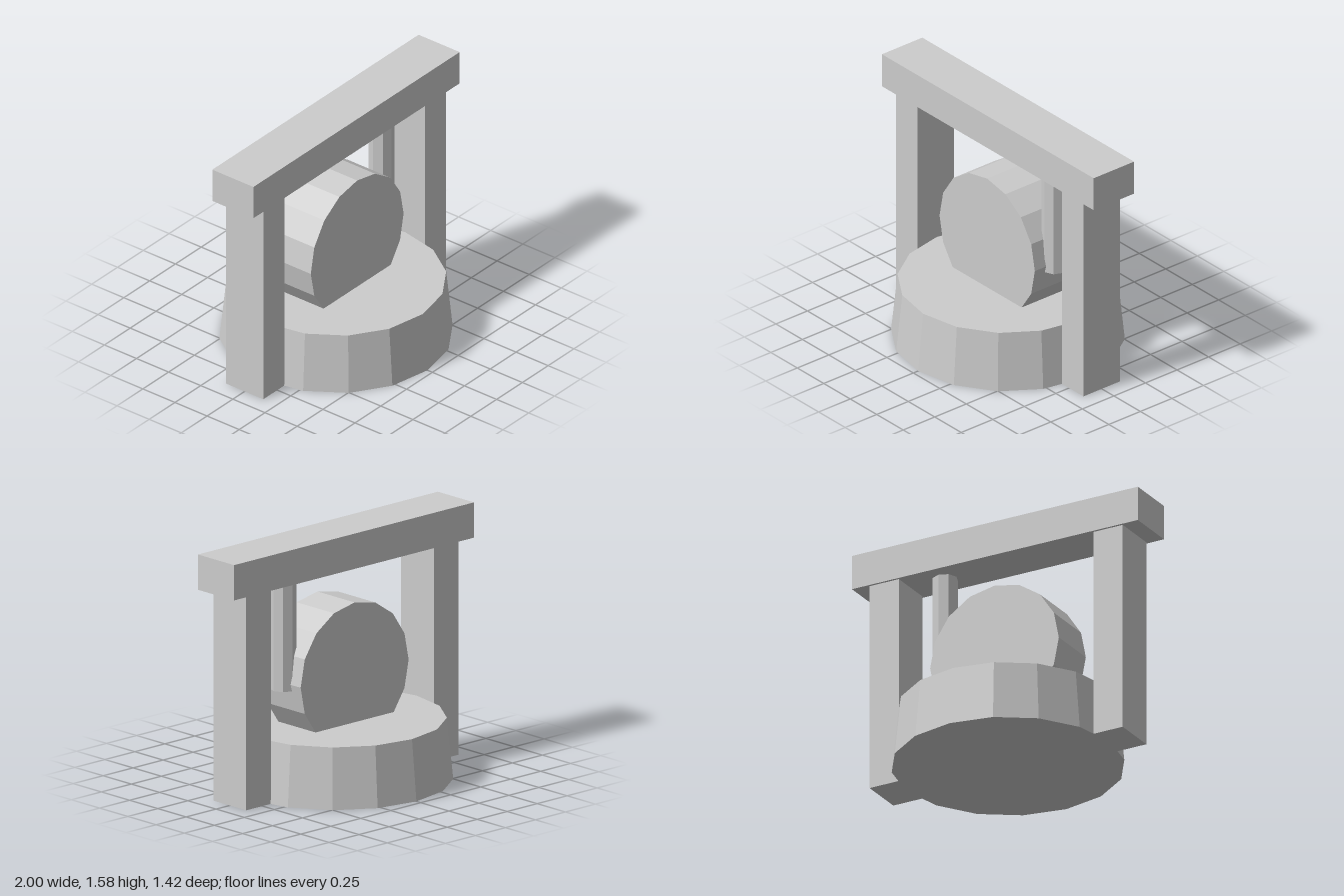
import * as THREE from 'three';

export function createModel() {
  const model = new THREE.Group();
  const stone = new THREE.MeshStandardMaterial({ color: 0xcccccc, flatShading: true });
  stone.name = 'pale stone';

  const add = (name, geometry, x, y, z = 0) => {
    const mesh = new THREE.Mesh(geometry, stone);
    mesh.name = name;
    mesh.position.set(x, y, z);
    model.add(mesh);
    return mesh;
  };

  // Tapered round base
  const baseHeight = 0.385;
  add('base', new THREE.CylinderGeometry(0.673, 0.712, baseHeight, 16), 0, baseHeight / 2);

  // Upright wheel, sunk into the base
  const wheel = new THREE.CylinderGeometry(0.45, 0.45, 0.33, 16).rotateX(Math.PI / 2);
  add('wheel', wheel, 0, 0.692);

  // Gate frame: two posts and a crossbeam
  const beamBottom = 1.352, beamTop = 1.575;
  for (const [name, side] of [['leftPost', 1], ['rightPost', -1]]) {
    add(name, new THREE.BoxGeometry(0.205, beamBottom, 0.29), side * 0.783, beamBottom / 2);
  }
  add('crossbeam', new THREE.BoxGeometry(2, beamTop - beamBottom, 0.32), 0, (beamTop + beamBottom) / 2);

  // Rod hanging from the beam beside the wheel
  const rodBottom = 0.65;
  add('hangingRod', new THREE.CylinderGeometry(0.08, 0.08, beamBottom - rodBottom, 8), 0.44, (beamBottom + rodBottom) / 2);

  return model;
}
